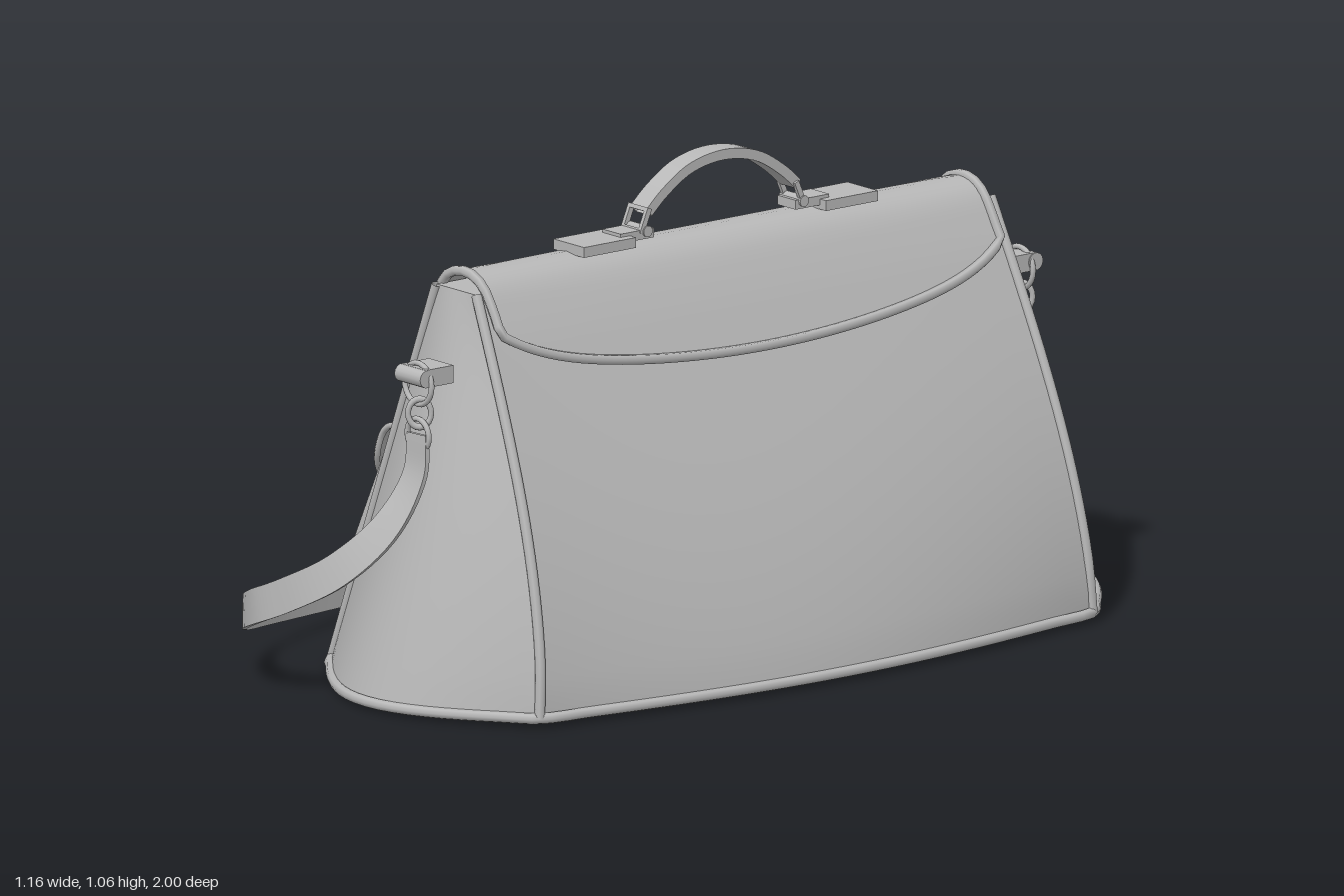
import * as THREE from 'three';
import { toCreasedNormals } from 'three/addons/utils/BufferGeometryUtils.js';

const leather = new THREE.MeshStandardMaterial({ color: 0xb8b8b8, side: THREE.DoubleSide });
leather.name = 'grey leather';
const V = (x, y, z = 0) => new THREE.Vector3(x, y, z);
const curve = (pts, closed = false) => new THREE.CatmullRomCurve3(pts, closed);

function add(parent, name, geo, x = 0, y = 0, z = 0) {
  const m = new THREE.Mesh(geo, leather);
  m.name = name;
  m.position.set(x, y, z);
  parent.add(m);
  return m;
}

// Smooth surface from a rule f(u, v) -> point
function grid(f, nu, nv) {
  const pos = [], idx = [];
  for (let i = 0; i <= nu; i++) for (let j = 0; j <= nv; j++) pos.push(...f(i / nu, j / nv).toArray());
  for (let i = 0; i < nu; i++) for (let j = 0; j < nv; j++) {
    const a = i * (nv + 1) + j, b = a + nv + 1;
    idx.push(a, b, a + 1, b, b + 1, a + 1);
  }
  const g = new THREE.BufferGeometry();
  g.setAttribute('position', new THREE.Float32BufferAttribute(pos, 3));
  g.setIndex(idx);
  g.computeVertexNormals();
  return g;
}

// Flat band swept along a path; dirs give the direction of its width
function ribbon(pts, dirs, width, thick, n) {
  const path = curve(pts), across = curve(dirs);
  const corners = [[-1, -1], [1, -1], [1, 1], [-1, 1], [-1, -1]];
  const w = typeof width === 'function' ? width : () => width;
  const g = grid((u, v) => {
    const t = path.getTangent(u), d = across.getPoint(u);
    d.addScaledVector(t, -d.dot(t)).normalize();
    const nrm = t.clone().cross(d).normalize();
    const [a, b] = corners[Math.round(v * 4)];
    return path.getPoint(u).addScaledVector(d, a * w(u) / 2).addScaledVector(nrm, b * thick / 2);
  }, n, 4);
  return toCreasedNormals(g, 0.7);
}

// Flap following a profile in x/y, with a rounded outline and a piped edge
function flap(parent, name, profile, zc, hw, front, back, pipe) {
  const path = curve(profile);
  const f = (u, v) => {
    const w = Math.sin((u - 0.5) * Math.PI);
    const p = path.getPointAt(THREE.MathUtils.lerp(front(w), back(w), v));
    p.z = zc + w * hw;
    return p;
  };
  add(parent, name, grid(f, 40, 28));
  const edge = [];
  for (let i = 0; i < 30; i++) edge.push(f(i / 30, 0));
  for (let i = 0; i < 10; i++) edge.push(f(1, i / 10));
  for (let i = 0; i < 30; i++) edge.push(f(1 - i / 30, 1));
  for (let i = 0; i < 10; i++) edge.push(f(0, 1 - i / 10));
  add(parent, name + 'Edge', new THREE.TubeGeometry(curve(edge, true), 140, pipe, 6, true));
}

// Rectangular buckle frame
function frameGeo(w, h, bar, depth) {
  const rect = (S, a, b) => new S([[-a, -b], [a, -b], [a, b], [-a, b]].map(p => new THREE.Vector2(...p)));
  const s = rect(THREE.Shape, w / 2, h / 2);
  s.holes.push(rect(THREE.Path, w / 2 - bar, h / 2 - bar));
  return new THREE.ExtrudeGeometry(s, { depth, bevelEnabled: false });
}

// Group lying on the sloping front: local y runs up the slope, local z points out
function onFront(parent, name, x, y, z, slope) {
  const g = new THREE.Group(), up = V(Math.cos(slope), Math.sin(slope));
  g.name = name;
  g.quaternion.setFromRotationMatrix(new THREE.Matrix4().makeBasis(V(0, 0, 1), up, V(-up.y, up.x)));
  g.position.set(x, y, z);
  parent.add(g);
  return g;
}

// Body corners: bottom, top, outward bow half way up
const corners = [
  [V(-0.23, 0.012, 0.70), V(0.07, 0.86, 0.665), 0],
  [V(0.485, 0.02, 0.73), V(0.20, 0.86, 0.665), 0.05],
  [V(0.49, 0.02, -0.75), V(0.20, 0.86, -0.715), 0.05],
  [V(-0.205, 0.02, -0.77), V(0.07, 0.86, -0.715), 0],
];
const bulges = [[V(0, 0, 0.185), 1], [V(0.08, 0, 0), 2], [V(0, 0, -0.205), 1], [V(-0.05, 0, 0), 1]];
function corner(i, v) {
  const [a, b, bow] = corners[i % 4];
  const p = a.clone().lerp(b, v);
  p.x += bow * Math.sin(Math.PI * Math.pow(v, 0.8));
  return p;
}
function wall(i, u, v) {
  const [dir, fall] = bulges[i];
  const s = Math.sin(Math.PI * u) * Math.pow(1 - v, fall);
  return corner(i, v).lerp(corner(i + 1, v), u).addScaledVector(dir, s);
}

function buildBody(parent) {
  const body = new THREE.Group();
  body.name = 'body';
  parent.add(body);
  const names = ['leftEnd', 'backPanel', 'rightEnd', 'frontPanel'], rim = [];
  for (let i = 0; i < 4; i++) {
    add(body, names[i], grid((u, v) => wall(i, u, v), 20, 20));
    add(body, 'bottom', grid((u, v) => V(0.13, 0.016, -0.02).lerp(wall(i, u, 0), 1 - v), 20, 1));
    add(body, 'topInside', grid((u, v) => V(0.135, 0.855, -0.025).lerp(wall(i, u, 1), v), 8, 1));
    const seam = Array.from({ length: 9 }, (_, k) => corner(i, k / 8));
    add(body, 'cornerPiping', new THREE.TubeGeometry(curve(seam), 24, 0.011, 8));
    for (let k = 0; k < 12; k++) rim.push(wall(i, k / 12, 0));
  }
  add(body, 'bottomPiping', new THREE.TubeGeometry(curve(rim, true), 120, 0.012, 8, true));
}

function buildPocket(parent, zc) {
  const g = new THREE.Group();
  g.name = 'pocket';
  parent.add(g);
  // Pouch, wider towards its foot
  const s = new THREE.Shape([[-0.345, 0.16], [-0.215, 0.465], [-0.19, 0.482], [-0.09, 0.45], [-0.1, 0.38], [-0.17, 0.13]]
    .map(p => new THREE.Vector2(...p)));
  const geo = new THREE.ExtrudeGeometry(s, { depth: 0.26, bevelEnabled: false }).translate(0, 0, -0.13);
  const pos = geo.attributes.position;
  for (let i = 0; i < pos.count; i++) pos.setZ(i, pos.getZ(i) * (1.18 - 0.45 * (pos.getY(i) - 0.1)));
  geo.computeVertexNormals();
  add(g, 'pouch', geo, 0, 0, zc);
  // Lid, tongue and latch
  const lid = [V(-0.285, 0.34), V(-0.25, 0.42), V(-0.225, 0.475), V(-0.195, 0.494), V(-0.15, 0.482), V(-0.095, 0.46)];
  flap(g, 'pocketLid', lid, zc, 0.14, w => 0.4 * (1 - Math.sqrt(Math.max(0, 1 - Math.abs(w) ** 2.5))), () => 1, 0.007);
  const latch = onFront(g, 'pocketLatch', -0.285, 0.355, zc, 1.17);
  add(latch, 'stud', new THREE.CylinderGeometry(0.022, 0.026, 0.02, 16).rotateX(Math.PI / 2), 0, 0, 0.014);
  add(latch, 'loop', frameGeo(0.035, 0.05, 0.008, 0.01), 0, -0.03, 0.012);
  add(latch, 'tab', ribbon([V(0, -0.02, 0.018), V(0, -0.07, 0.014), V(0, -0.125, 0.02)],
    [V(1, 0), V(1, 0), V(1, 0)], u => 0.03 * Math.min(1, (1.02 - u) * 4), 0.006, 12));
}

function buildClosure(parent) {
  const g = onFront(parent, 'frontClosure', -0.085, 0.6, -0.03, 1.2);
  const disc = new THREE.LatheGeometry([[0.09, 0], [0.09, 0.014], [0.078, 0.02], [0.066, 0.016], [0.055, 0.026], [0, 0.032]]
    .map(p => new THREE.Vector2(...p)), 32).rotateX(Math.PI / 2);
  add(g, 'badge', disc);
  const straight = [V(1, 0), V(1, 0), V(1, 0), V(1, 0)];
  add(g, 'closureStrap', ribbon([V(0, -0.06, 0.015), V(0, -0.16, 0.02), V(0, -0.28, 0.015), V(0, -0.42, 0.008)],
    straight, u => 0.06 * Math.min(1, (1.02 - u) * 5), 0.012, 24));
  add(g, 'buckle', frameGeo(0.095, 0.075, 0.013, 0.016), 0, -0.19, 0.018);
  add(g, 'bucklePin', new THREE.BoxGeometry(0.01, 0.075, 0.01), 0, -0.185, 0.034);
  add(g, 'keeper', new THREE.BoxGeometry(0.076, 0.022, 0.028), 0, -0.26, 0.016);
}

function buildHandle(parent) {
  const g = new THREE.Group();
  g.name = 'handle';
  g.position.set(0.142, 0, -0.025);
  parent.add(g);
  const arch = [[0.2, 0.955], [0.16, 0.99], [0.09, 1.032], [0, 1.048], [-0.09, 1.032], [-0.16, 0.99], [-0.2, 0.955]];
  add(g, 'grip', ribbon(arch.map(([z, y]) => V(0, y, z)), arch.map(() => V(1, 0)), 0.052, 0.022, 32));
  for (const s of [-1, 1]) {
    add(g, 'handlePlate', new THREE.BoxGeometry(0.1, 0.022, 0.14), 0, 0.904, s * 0.325);
    add(g, 'handleTab', new THREE.BoxGeometry(0.06, 0.02, 0.09), 0, 0.912, s * 0.235);
    add(g, 'handleBolt', new THREE.CylinderGeometry(0.012, 0.012, 0.07, 12).rotateZ(Math.PI / 2), 0, 0.918, s * 0.21);
    const ring = add(g, 'handleBuckle', frameGeo(0.064, 0.055, 0.009, 0.012), 0, 0.938, s * 0.208);
    ring.rotation.x = -s * 0.4;
  }
}

function buildShoulderStrap(parent) {
  const g = new THREE.Group();
  g.name = 'shoulderStrap';
  parent.add(g);
  const path = [
    [0.155, 0.575, 0.785], [0.157, 0.49, 0.795], [0.13, 0.38, 0.85], [0.055, 0.285, 0.92], [-0.04, 0.225, 0.975],
    [-0.13, 0.185, 0.99], [-0.29, 0.125, 0.88], [-0.41, 0.09, 0.7], [-0.515, 0.065, 0.4], [-0.575, 0.055, 0.08],
    [-0.55, 0.055, -0.2], [-0.49, 0.065, -0.5], [-0.405, 0.09, -0.8], [-0.26, 0.14, -0.95], [-0.12, 0.185, -0.99],
    [0, 0.245, -0.98], [0.09, 0.32, -0.94], [0.14, 0.4, -0.89], [0.157, 0.49, -0.845], [0.155, 0.575, -0.83]];
  // Width turns from sideways at the clips to upright around the front
  const dirs = path.map(([, y]) => {
    const a = THREE.MathUtils.clamp((y - 0.2) / 0.3, 0, 1) * Math.PI / 2;
    return V(-Math.sin(a), Math.cos(a));
  });
  add(g, 'strap', ribbon(path.map(p => V(...p)), dirs, u => 0.072 - 0.012 * Math.abs(2 * u - 1) ** 8, 0.01, 120));
  for (const [s, z] of [[1, 0.785], [-1, -0.83]]) {
    // Anchor loop, ring, swivel clip and strap ring
    add(g, 'anchor', new THREE.BoxGeometry(0.08, 0.038, 0.075), 0.155, 0.70, z - s * 0.025);
    const roll = new THREE.CylinderGeometry(0.019, 0.019, 0.084, 14).rotateZ(Math.PI / 2);
    add(g, 'anchorRoll', roll, 0.155, 0.7, z + s * 0.01);
    add(g, 'ring', new THREE.TorusGeometry(0.044, 0.006, 8, 28), 0.155, 0.682, z);
    const link = add(g, 'clip', new THREE.TorusGeometry(0.024, 0.006, 8, 20), 0.16, 0.62, z);
    link.rotation.y = 0.9;
    link.scale.y = 1.25;
    add(g, 'strapRing', new THREE.TorusGeometry(0.035, 0.006, 8, 24), 0.155, 0.572, z);
  }
}

export function createModel() {
  const bag = new THREE.Group();
  bag.name = 'satchel';
  buildBody(bag);
  // Main flap over the ridge
  const profile = [V(-0.125, 0.46), V(-0.035, 0.66), V(0.045, 0.825), V(0.08, 0.88), V(0.135, 0.897),
    V(0.19, 0.88), V(0.247, 0.8), V(0.315, 0.67)];
  flap(bag, 'mainFlap', profile, -0.025, 0.67,
    w => 0.42 * (1 - Math.sqrt(Math.max(0, 1 - Math.abs(w) ** 3))),
    w => 1 - 0.1 * w * w - 0.05 * w ** 8, 0.011);
  for (const z of [-0.485, 0.425]) buildPocket(bag, z);
  buildClosure(bag);
  buildHandle(bag);
  buildShoulderStrap(bag);
  return bag;
}
